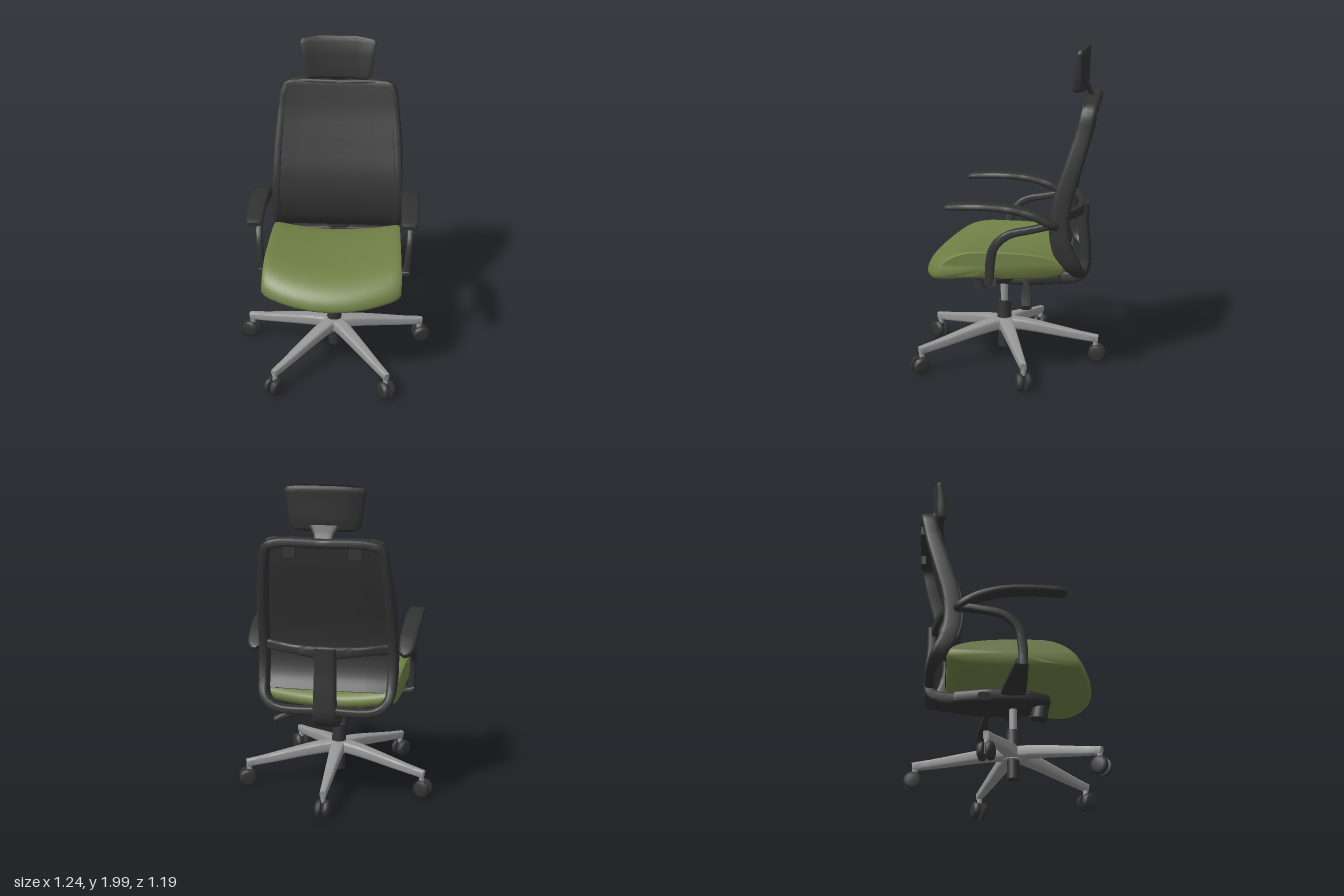
import * as THREE from 'three';
import { toCreasedNormals } from 'three/addons/utils/BufferGeometryUtils.js';

const V = (x, y, z) => new THREE.Vector3(x, y, z);
const black = new THREE.MeshStandardMaterial({ color: 0x333333 });
black.name = 'charcoal';
const green = new THREE.MeshStandardMaterial({ color: 0x708046 });
green.name = 'olive fabric';
const silver = new THREE.MeshStandardMaterial({ color: 0x969696 });
silver.name = 'brushed metal';

// Skin a series of equal rings; the ends are capped unless the series is closed
function loft(rings, closed = false, crease = 0.7) {
  const n = rings[0].length, m = rings.length, pos = [], idx = [];
  rings.forEach(r => r.forEach(p => pos.push(p.x, p.y, p.z)));
  for (let i = 0; i < (closed ? m : m - 1); i++) {
    for (let j = 0; j < n; j++) {
      const a = i * n + j, b = i * n + (j + 1) % n;
      const c = ((i + 1) % m) * n + j, d = ((i + 1) % m) * n + (j + 1) % n;
      idx.push(a, b, c, b, d, c);
    }
  }
  if (!closed) [0, m - 1].forEach(i => {
    const c = rings[i].reduce((s, p) => s.add(p), V(0, 0, 0)).divideScalar(n);
    const k = pos.length / 3;
    pos.push(c.x, c.y, c.z);
    for (let j = 0; j < n; j++) {
      const a = i * n + j, b = i * n + (j + 1) % n;
      if (i) idx.push(k, a, b); else idx.push(k, b, a);
    }
  });
  // turn the faces outward when the enclosed volume comes out negative
  let vol = 0;
  const at = k => V(pos[3 * k], pos[3 * k + 1], pos[3 * k + 2]);
  for (let i = 0; i < idx.length; i += 3) vol += at(idx[i]).dot(at(idx[i + 1]).cross(at(idx[i + 2])));
  if (vol < 0) for (let i = 0; i < idx.length; i += 3) [idx[i], idx[i + 1]] = [idx[i + 1], idx[i]];
  const g = new THREE.BufferGeometry();
  g.setAttribute('position', new THREE.Float32BufferAttribute(pos, 3));
  g.setIndex(idx);
  return toCreasedNormals(g, crease);
}

// Sweep a rounded rectangle; stations are [x, y, z, half size along side, half thickness]
function sweep(stations, side, { steps = 24, closed = false, power = 4, n = 16, bow = null } = {}) {
  const curve = new THREE.CatmullRomCurve3(stations.map(s => V(s[0], s[1], s[2])), closed);
  const segs = closed ? stations.length : stations.length - 1, rings = [];
  for (let i = 0; i < (closed ? steps : steps + 1); i++) {
    const t = i / steps, f = t * segs, k = Math.min(Math.floor(f), segs - 1);
    const A = stations[k], B = stations[(k + 1) % stations.length];
    const w = THREE.MathUtils.lerp(A[3], B[3], f - k), h = THREE.MathUtils.lerp(A[4], B[4], f - k);
    const p = curve.getPoint(t), tan = curve.getTangent(t);
    const u = side.clone().addScaledVector(tan, -side.dot(tan)).normalize();
    const v = tan.clone().cross(u), ring = [];
    for (let j = 0; j < n; j++) {
      const a = (j + 0.5) / n * Math.PI * 2, c = Math.cos(a), s = Math.sin(a);
      const q = p.clone()
        .addScaledVector(u, w * Math.sign(c) * Math.abs(c) ** (2 / power))
        .addScaledVector(v, h * Math.sign(s) * Math.abs(s) ** (2 / power));
      if (bow) bow(q, w);
      ring.push(q);
    }
    rings.push(ring);
  }
  return loft(rings, closed);
}

export function createModel() {
  const root = new THREE.Group();
  root.name = 'officeChair';
  const X = V(1, 0, 0), Y = V(0, 1, 0), Z = V(0, 0, 1);
  const add = (name, geo, mat, parent = root, x = 0, y = 0, z = 0) => {
    const m = new THREE.Mesh(geo, mat);
    m.name = name;
    m.position.set(x, y, z);
    parent.add(m);
    return m;
  };
  const cyl = (r1, r2, h) => new THREE.CylinderGeometry(r1, r2, h, 20);

  // Five-legged base with twin-wheel casters
  const base = new THREE.Group();
  base.name = 'base';
  base.position.z = 0.06;
  root.add(base);
  const legGeo = sweep([[0, 0.24, 0, 0.045, 0.037], [0, 0.225, 0.15, 0.04, 0.035],
    [0, 0.165, 0.48, 0.024, 0.026], [0, 0.147, 0.595, 0.018, 0.024]], X, { steps: 12, power: 5 });
  const wheelGeo = new THREE.LatheGeometry([[0, -0.02], [0.035, -0.02], [0.052, -0.012], [0.055, 0.008],
    [0.05, 0.018], [0, 0.02]].map(p => new THREE.Vector2(...p)), 14);
  for (let i = 0; i < 5; i++) {
    const leg = new THREE.Group();
    leg.name = 'leg';
    leg.rotation.y = Math.PI + i * Math.PI * 2 / 5;
    base.add(leg);
    add('legBeam', legGeo, silver, leg);
    add('casterStem', cyl(0.016, 0.016, 0.07), silver, leg, 0, 0.115, 0.58);
    add('casterHood', new THREE.BoxGeometry(0.05, 0.06, 0.05), black, leg, 0, 0.065, 0.585);
    for (const s of [-1, 1]) {
      add('casterWheel', wheelGeo, black, leg, s * 0.026, 0.055, 0.59).rotation.z = s * Math.PI / 2;
    }
  }
  add('hub', cyl(0.05, 0.06, 0.08), silver, base, 0, 0.235, 0);
  add('columnSleeve', cyl(0.04, 0.046, 0.11), black, base, 0, 0.328, 0);
  add('columnFoot', cyl(0.037, 0.037, 0.13), black, base, 0, 0.145, 0);
  add('gasLift', cyl(0.023, 0.023, 0.18), silver, base, 0, 0.46, 0);

  // Seat cushion: side profiles across the width, raised and set back toward the edges
  const profile = new THREE.CatmullRomCurve3([[0.53, 0.59], [0.52, 0.645], [0.46, 0.705], [0.34, 0.752],
    [0.15, 0.76], [-0.1, 0.752], [-0.27, 0.725], [-0.34, 0.69], [-0.345, 0.645], [-0.27, 0.61], [0, 0.59],
    [0.3, 0.59], [0.48, 0.578]].map(p => V(0, p[1], p[0])), true).getPoints(52).slice(0, 52);
  const seatRings = [];
  for (const t of [-1, -0.98, -0.94, -0.85, -0.7, -0.5, -0.25, 0, 0.25, 0.5, 0.7, 0.85, 0.94, 0.98, 1]) {
    const e = Math.abs(t), k = e > 0.99 ? 0.84 : e > 0.97 ? 0.92 : e > 0.93 ? 0.98 : 1;
    seatRings.push(profile.map(p => {
      const front = THREE.MathUtils.clamp((p.z + 0.35) / 0.88, 0, 1);
      const y = 0.675 + (p.y - 0.675) * k + 0.048 * t * t;
      const z = 0.08 + (p.z - 0.08) * (1 - (1 - k) * 0.25) - 0.11 * t * t * front;
      return V(t * (0.405 + 0.02 * front), y, z);
    }));
  }
  add('seatCushion', loft(seatRings, false, 0.8), green);

  // Tilt mechanism, tension knob and levers
  add('mechanism', sweep([[0, 0.57, 0.28, 0.07, 0.03], [0, 0.565, 0.15, 0.14, 0.04], [0, 0.56, -0.1, 0.15, 0.045],
    [0, 0.56, -0.3, 0.1, 0.04]], X, { power: 6 }), black);
  add('tensionKnob', cyl(0.05, 0.052, 0.13), black, root, 0, 0.525, 0.225).rotation.x = 0.15;
  add('heightLever', sweep([[0.1, 0.56, -0.08, 0.015, 0.015], [0.2, 0.525, -0.1, 0.02, 0.018],
    [0.3, 0.49, -0.11, 0.035, 0.022], [0.38, 0.455, -0.12, 0.03, 0.016]], Z, { steps: 10 }), black);
  add('tiltLever', sweep([[-0.1, 0.55, -0.12, 0.03, 0.025], [-0.19, 0.53, -0.12, 0.04, 0.025]], Z, { steps: 4 }), black);

  // Backrest: closed frame, thin bowed panel, spine and crossbar
  const half = [[0.28, 1.665, -0.488, 0.04, 0.028], [0.335, 1.635, -0.475, 0.045, 0.028],
    [0.358, 1.5, -0.445, 0.048, 0.028], [0.378, 1.3, -0.385, 0.055, 0.03], [0.387, 1.1, -0.327, 0.058, 0.03],
    [0.388, 0.95, -0.312, 0.06, 0.03], [0.388, 0.82, -0.335, 0.06, 0.03], [0.37, 0.71, -0.4, 0.045, 0.028],
    [0.3, 0.655, -0.435, 0.03, 0.026]];
  const mirror = half.map(([x, ...r]) => [-x, ...r]).reverse();
  add('backFrame', sweep([[0, 1.67, -0.49, 0.04, 0.026], ...half, [0, 0.65, -0.445, 0.03, 0.026], ...mirror],
    Z, { steps: 100, closed: true }), black);
  add('backPanel', sweep([[0, 1.69, -0.455, 0.3, 0.008], [0, 1.675, -0.447, 0.342, 0.01], [0, 1.63, -0.435, 0.358, 0.01],
    [0, 1.5, -0.403, 0.38, 0.01], [0, 1.3, -0.34, 0.402, 0.01], [0, 1.1, -0.28, 0.413, 0.01],
    [0, 0.95, -0.262, 0.417, 0.01], [0, 0.82, -0.285, 0.417, 0.01], [0, 0.74, -0.33, 0.4, 0.01]],
  X, { steps: 40, power: 8, n: 40, bow: (q, w) => { q.z -= 0.02 * (1 - (q.x / w) ** 2); } }), black);
  add('backCrossbar', sweep([[-0.38, 1.02, -0.345, 0.03, 0.015], [-0.2, 1.01, -0.4, 0.028, 0.018],
    [0, 1.0, -0.425, 0.04, 0.022], [0.2, 1.01, -0.4, 0.028, 0.018], [0.38, 1.02, -0.345, 0.03, 0.015]], Y), black);
  add('spine', sweep([[0, 1.03, -0.437, 0.065, 0.03], [0, 0.88, -0.435, 0.065, 0.032], [0, 0.72, -0.448, 0.068, 0.032],
    [0, 0.6, -0.44, 0.075, 0.035], [0, 0.565, -0.38, 0.08, 0.04], [0, 0.56, -0.2, 0.08, 0.038]], X, { power: 6 }), black);
  for (const s of [-1, 1]) {
    add('frameClip', new THREE.BoxGeometry(0.07, 0.07, 0.03), black, root, s * 0.19, 1.625, -0.51);
  }

  // Headrest, bowed back at the middle, on a small bracket
  add('headrest', sweep([[0, 1.727, -0.4, 0.17, 0.018], [0, 1.742, -0.4, 0.2, 0.03], [0, 1.8, -0.405, 0.212, 0.032],
    [0, 1.9, -0.412, 0.225, 0.027], [0, 1.96, -0.422, 0.235, 0.02], [0, 1.978, -0.424, 0.225, 0.012]],
  X, { steps: 20, power: 7, n: 36, bow: (q, w) => {
    const c = 1 - (q.x / w) ** 2;
    q.z -= 0.035 * c - 0.008;
    if (q.y > 1.9) q.y += 0.02 * c * (q.y - 1.9) / 0.08;
  } }), black);
  add('headrestBracket', sweep([[0, 1.67, -0.49, 0.05, 0.012], [0, 1.715, -0.465, 0.06, 0.01],
    [0, 1.76, -0.44, 0.09, 0.015]], X, { steps: 8 }), black);

  // Armrests: pad, curved support and bracket under the seat
  for (const s of [-1, 1]) {
    const arm = new THREE.Group();
    arm.name = s > 0 ? 'leftArmrest' : 'rightArmrest';
    root.add(arm);
    const side = pts => pts.map(([x, ...r]) => [s * x, ...r]);
    add('armPad', sweep(side([[0.462, 1.08, 0.35, 0.038, 0.012], [0.463, 1.087, 0.31, 0.05, 0.019],
      [0.466, 1.092, 0.1, 0.054, 0.02], [0.466, 1.077, -0.05, 0.054, 0.022], [0.462, 1.04, -0.18, 0.052, 0.024],
      [0.455, 0.99, -0.27, 0.045, 0.022], [0.43, 0.975, -0.295, 0.03, 0.018]]), X), black);
    add('armSupport', sweep(side([[0.445, 0.985, -0.28, 0.03, 0.022], [0.468, 0.958, -0.15, 0.024, 0.022],
      [0.474, 0.925, -0.02, 0.022, 0.024], [0.47, 0.85, 0.062, 0.02, 0.027], [0.462, 0.74, 0.088, 0.02, 0.028],
      [0.455, 0.615, 0.092, 0.024, 0.026]]), X), black);
    add('armBracket', sweep(side([[0.475, 0.635, 0.085, 0.035, 0.022], [0.4, 0.625, 0.08, 0.045, 0.016],
      [0.22, 0.582, 0.06, 0.07, 0.018], [0.08, 0.57, 0.05, 0.08, 0.02]]), Z, { steps: 14 }), black);
  }
  return root;
}
